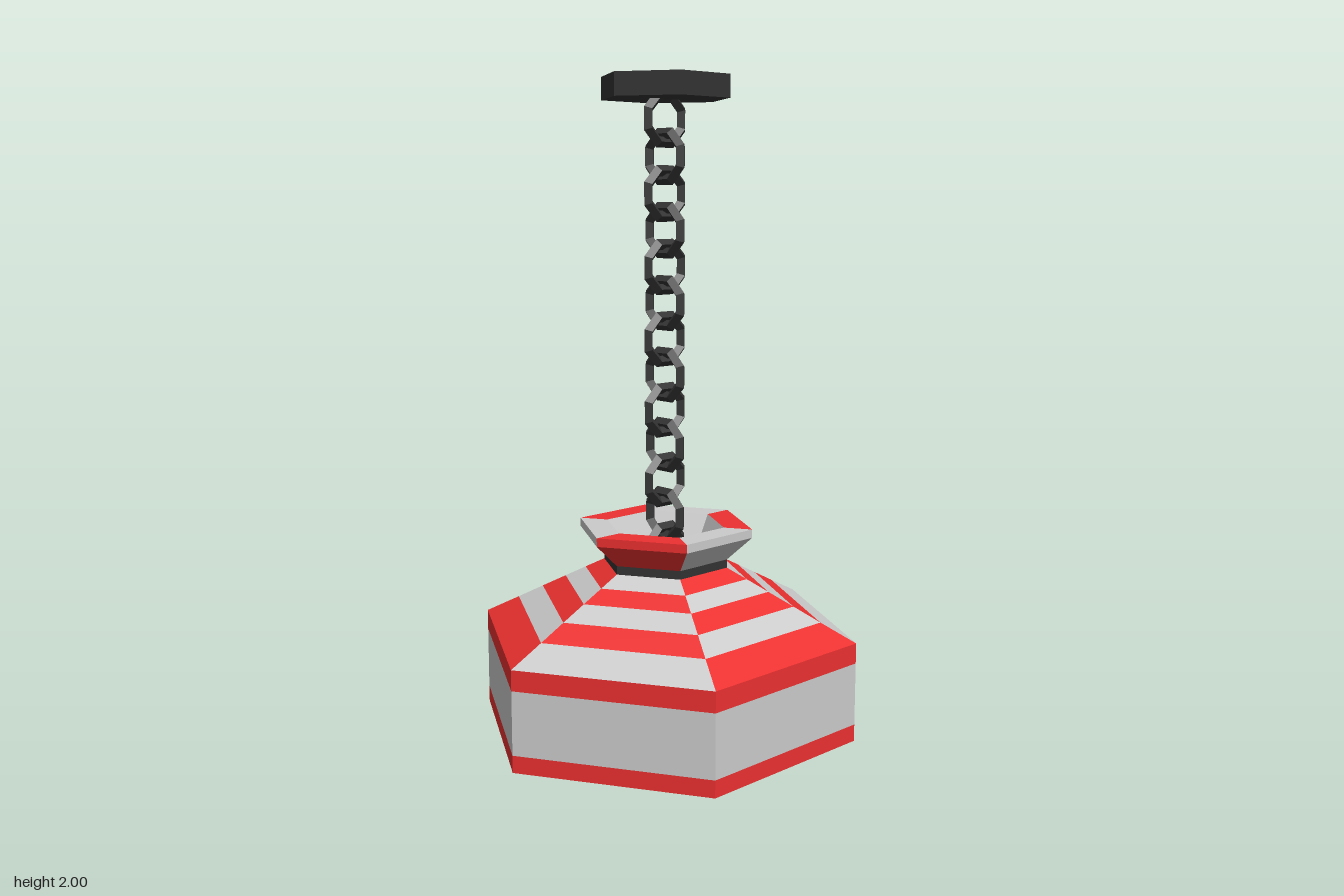
import * as THREE from 'three';

const GREY = 0xcccccc, RED = 0xec3030, DARK = 0x333333, BULB = 0xd9cc88;
const SIDES = 6;

const material = (color) => new THREE.MeshStandardMaterial({ color, flatShading: true });

function addMesh(parent, name, geometry, color, y = 0) {
  const mesh = new THREE.Mesh(geometry, material(color));
  mesh.name = name;
  mesh.position.y = y;
  parent.add(mesh);
  return mesh;
}

// Hexagonal shell from a profile of [radius, height] points.
// colorOf(band, face) picks the colour of each panel; one mesh per colour.
function hexShell(name, profile, colorOf) {
  const group = new THREE.Group();
  group.name = name;
  const panels = new Map();
  const corner = ([r, y], i) => {
    const a = (i / SIDES) * Math.PI * 2;
    return [r * Math.sin(a), y, r * Math.cos(a)];
  };
  for (let b = 0; b < profile.length - 1; b++) {
    for (let f = 0; f < SIDES; f++) {
      const color = colorOf(b, f);
      if (!panels.has(color)) panels.set(color, []);
      const A = corner(profile[b], f), B = corner(profile[b], f + 1);
      const C = corner(profile[b + 1], f + 1), D = corner(profile[b + 1], f);
      panels.get(color).push(...A, ...B, ...C, ...A, ...C, ...D);
    }
  }
  for (const [color, positions] of panels) {
    const geometry = new THREE.BufferGeometry();
    geometry.setAttribute('position', new THREE.Float32BufferAttribute(positions, 3));
    geometry.computeVertexNormals();
    addMesh(group, name + (color === RED ? 'RedPanels' : 'GreyPanels'), geometry, color);
  }
  return group;
}

// Striped shade: outer wall, sloped roof, then back down the inside
function createShade() {
  const roof = [[0.575, 0.395], [0.47, 0.448], [0.39, 0.489], [0.315, 0.527], [0.25, 0.56], [0.19, 0.59]];
  const lining = [[0.15, 0.545], [0.21, 0.514], [0.28, 0.478], [0.35, 0.442], [0.42, 0.406], [0.5, 0.365]];
  const profile = [
    [0.575, 0.1], [0.575, 0.15], [0.575, 0.335], ...roof,
    ...lining, [0.5, 0.335], [0.5, 0.1], [0.575, 0.1],
  ];
  return hexShell('shade', profile, (band, face) => {
    if (band === 0 || band === 2 || band === 14) return RED;
    if (band >= 3 && band <= 7) return (band + face) % 2 === 0 ? RED : GREY;
    if (band >= 9 && band <= 13) return (band + face) % 2 === 0 ? RED : GREY;
    return GREY;
  });
}

// Flared collar with alternating panels and a plain inside
function createCollar() {
  const profile = [[0.19, 0.615], [0.265, 0.685], [0.265, 0.71], [0.18, 0.71], [0.13, 0.61]];
  return hexShell('collar', profile, (band, face) => (band < 3 && face % 2 === 0 ? RED : GREY));
}

// Chain of octagonal links, each turned a quarter from the last
function createChain() {
  const chain = new THREE.Group();
  chain.name = 'chain';
  const link = new THREE.TorusGeometry(0.069, 0.017, 4, 8).rotateZ(Math.PI / 8);
  for (let i = 0; i < 13; i++) {
    const mesh = addMesh(chain, 'chainLink', link, DARK, 1.88 - i * 0.1037);
    mesh.rotation.y = i % 2 === 0 ? Math.PI / 2 : 0;
  }
  return chain;
}

export function createModel() {
  const lamp = new THREE.Group();
  lamp.name = 'pendantLamp';

  addMesh(lamp, 'ceilingPlate', new THREE.CylinderGeometry(0.19, 0.19, 0.065, SIDES), DARK, 1.9675);
  lamp.add(createChain(), createCollar(), createShade());
  addMesh(lamp, 'neckRing', new THREE.CylinderGeometry(0.19, 0.19, 0.027, SIDES), DARK, 0.602);

  // Bulb holder and bulb
  addMesh(lamp, 'socket', new THREE.CylinderGeometry(0.155, 0.155, 0.37, SIDES), GREY, 0.405);
  addMesh(lamp, 'bulb', new THREE.SphereGeometry(0.12, 8, 6), BULB, 0.12);
  return lamp;
}
